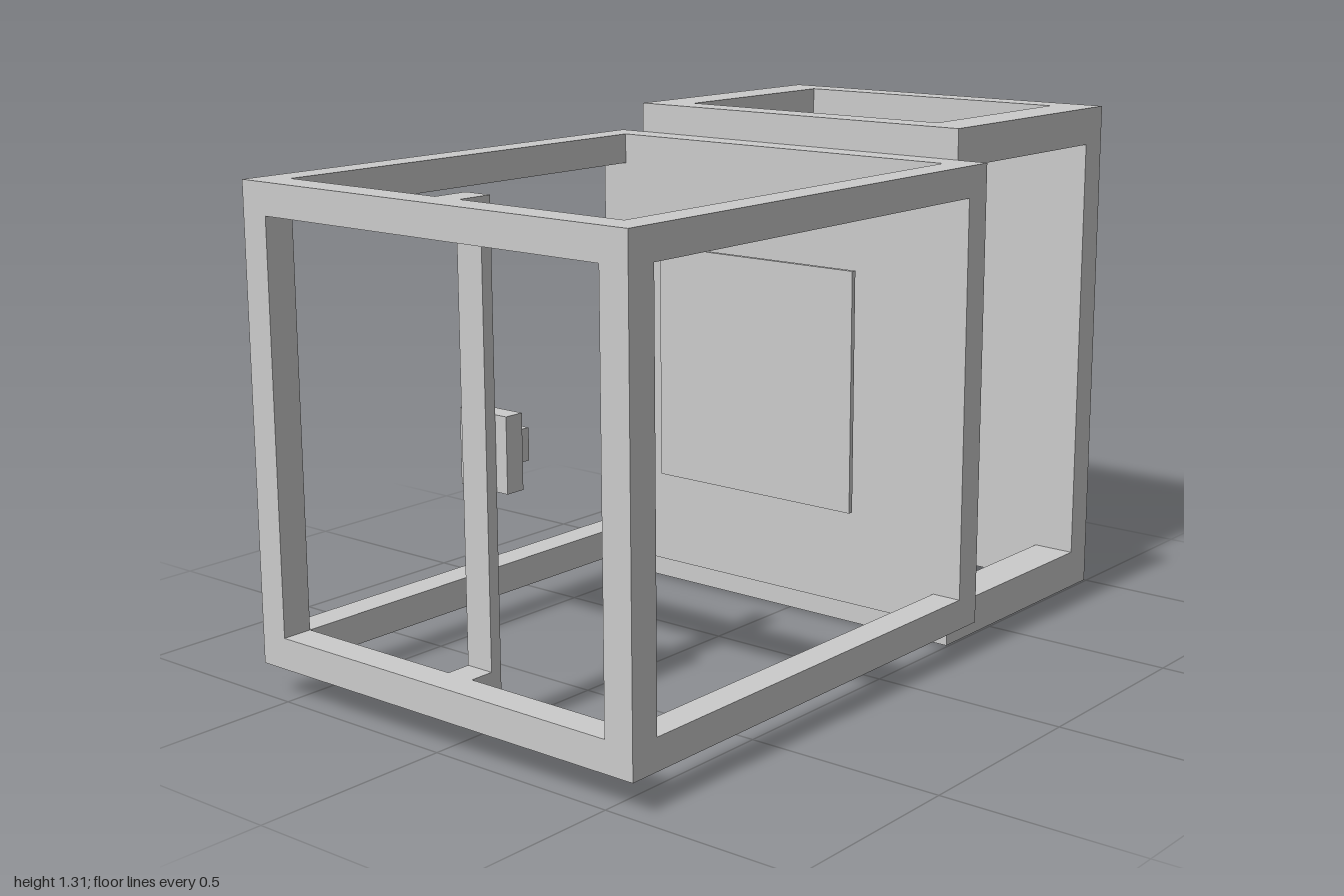
import * as THREE from 'three';

const material = new THREE.MeshStandardMaterial({ color: 0xcccccc, flatShading: true });

// Box given by its extents along each axis
function box(name, [x0, x1], [y0, y1], [z0, z1]) {
  const mesh = new THREE.Mesh(new THREE.BoxGeometry(x1 - x0, y1 - y0, z1 - z0), material);
  mesh.position.set((x0 + x1) / 2, (y0 + y1) / 2, (z0 + z1) / 2);
  mesh.name = name;
  return mesh;
}

// Horizontal plate outline; z is flipped because the extrusion is laid flat
function outline(target, points) {
  points.forEach(([x, z], i) => (i ? target.lineTo(x, -z) : target.moveTo(x, -z)));
  target.closePath();
  return target;
}

// Flat horizontal frame with one opening
function rim(name, [x0, x1], [z0, z1], hole, [y0, y1]) {
  const shape = outline(new THREE.Shape(), [[x0, z0], [x0, z1], [x1, z1], [x1, z0]]);
  shape.holes.push(outline(new THREE.Path(), hole));
  const geometry = new THREE.ExtrudeGeometry(shape, { depth: y1 - y0, bevelEnabled: false });
  geometry.rotateX(-Math.PI / 2).translate(0, y0, 0);
  const mesh = new THREE.Mesh(geometry, material);
  mesh.name = name;
  return mesh;
}

function createFrontCage() {
  const cage = new THREE.Group();
  cage.name = 'frontCage';
  const X = [-0.577, 0.577], Z = [-0.305, 1], inner = [0.157, 1.155];

  // Rims with a small tab that carries the centre post
  const hole = [
    [-0.502, -0.23], [0.5, -0.23], [0.5, 0.922], [0.037, 0.922],
    [0.037, 0.83], [-0.037, 0.83], [-0.037, 0.922], [-0.502, 0.922],
  ];
  cage.add(rim('bottomRim', X, Z, hole, [0.08, inner[0]]));
  cage.add(rim('topRim', X, Z, hole, [inner[1], 1.232]));

  // Solid rear wall and open corner posts
  cage.add(box('rearWall', X, inner, [-0.305, -0.23]));
  for (const x of [[-0.577, -0.502], [0.5, 0.577]]) {
    cage.add(box('cornerPost', x, inner, [0.922, 1]));
  }

  // Centre post with its control block
  cage.add(box('centrePost', [-0.037, 0.037], inner, [0.83, 0.86]));
  cage.add(box('controlBlock', [-0.072, 0.07], [0.57, 0.746], [0.78, 0.83]));
  cage.add(box('controlKnob', [-0.036, 0.034], [0.62, 0.696], [0.722, 0.78]));

  // Panel on a bracket inside the rear wall
  cage.add(box('panelBracket', [-0.106, 0.104], [0.552, 0.766], [-0.23, -0.153]));
  cage.add(box('panel', [-0.308, 0.304], [0.35, 0.962], [-0.153, -0.14]));
  return cage;
}

function createRearCabinet() {
  const cabinet = new THREE.Group();
  cabinet.name = 'rearCabinet';
  const X = [-0.505, 0.494], Z = [-1, -0.305], inner = [0.098, 1.213];

  // Rims open at top and bottom
  const hole = [[-0.393, -0.923], [0.382, -0.923], [0.382, -0.385], [-0.393, -0.385]];
  cabinet.add(rim('bottomRim', X, Z, hole, [0, inner[0]]));
  cabinet.add(rim('topRim', X, Z, hole, [inner[1], 1.308]));

  // Solid front and back walls, open sides
  cabinet.add(box('frontWall', X, inner, [-0.385, -0.305]));
  cabinet.add(box('backWall', X, inner, [-1, -0.923]));
  return cabinet;
}

export function createModel() {
  const model = new THREE.Group();
  model.name = 'frameAndCabinet';
  model.add(createFrontCage(), createRearCabinet());
  return model;
}
